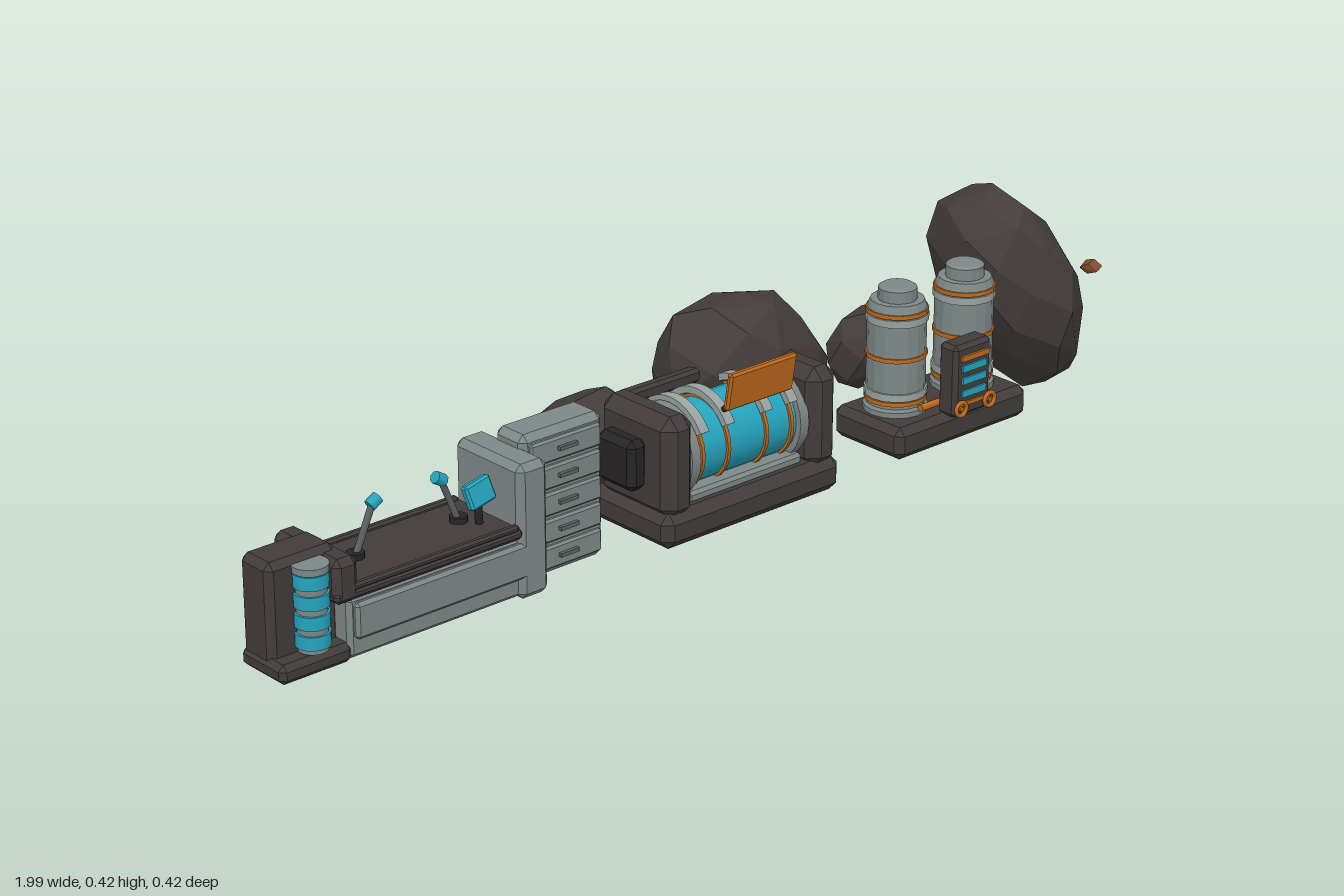
import * as THREE from 'three';
import { ConvexGeometry } from 'three/addons/geometries/ConvexGeometry.js';

const mat = (name, color) => Object.assign(new THREE.MeshStandardMaterial({ color }), { name });

export function createModel() {
  const root = new THREE.Group();
  const M = {
    rock: mat('rock', 0x433d3b), dark: mat('dark metal', 0x423c3b), black: mat('black metal', 0x262425),
    grey: mat('grey metal', 0x7d8886), pale: mat('pale metal', 0x98a3a0), slate: mat('slate metal', 0x5b6361),
    cyan: mat('cyan glow', 0x25a5bf), orange: mat('orange paint', 0xc06a1c),
    ore: mat('ore', 0x7d4c30),
  };
  let parent = root;
  const group = (name) => {
    parent = new THREE.Group();
    parent.name = name;
    root.add(parent);
  };
  const add = (name, geo, m, x = 0, y = 0, z = 0) => {
    const mesh = new THREE.Mesh(geo, m);
    mesh.name = name;
    mesh.position.set(x, y, z);
    parent.add(mesh);
    return mesh;
  };

  // box given by its limits, with optional chamfered edges
  const box = (name, m, x0, x1, y0, y1, z0, z1, c = 0) => {
    const h = [(x1 - x0) / 2, (y1 - y0) / 2, (z1 - z0) / 2];
    let geo;
    if (c) {
      const pts = [];
      for (const sx of [-1, 1]) for (const sy of [-1, 1]) for (const sz of [-1, 1])
        for (let k = 0; k < 3; k++) {
          const r = h.map((v, i) => (i === k ? v : v - c));
          pts.push(new THREE.Vector3(sx * r[0], sy * r[1], sz * r[2]));
        }
      geo = new ConvexGeometry(pts);
    } else geo = new THREE.BoxGeometry(h[0] * 2, h[1] * 2, h[2] * 2);
    return add(name, geo, m, (x0 + x1) / 2, (y0 + y1) / 2, (z0 + z1) / 2);
  };
  // upright or lying cylinder
  const cyl = (name, m, r, len, x, y, z, axis = 'y', sides = 20) => {
    const g = new THREE.CylinderGeometry(r, r, len, sides);
    if (axis === 'x') g.rotateZ(Math.PI / 2);
    if (axis === 'z') g.rotateX(Math.PI / 2);
    return add(name, g, m, x, y, z);
  };
  const rod = (name, m, r, a, b) => {
    const A = new THREE.Vector3(...a), B = new THREE.Vector3(...b);
    const d = B.clone().sub(A);
    const s = cyl(name, m, r, d.length(), 0, 0, 0, 'y', 8);
    s.position.copy(A).add(B).multiplyScalar(0.5);
    s.quaternion.setFromUnitVectors(new THREE.Vector3(0, 1, 0), d.normalize());
  };

  // Rocks: faceted hulls of jittered sphere points, leaned and fitted to a size
  const rock = (name, min, max, leanX, leanZ, count, seed, m = M.rock) => {
    let s = seed;
    const rnd = () => (s = (s * 16807) % 2147483647) / 2147483647;
    const pts = [];
    for (let i = 0; i < count; i++) {
      const y = 1 - (2 * (i + 0.5)) / count, r = Math.sqrt(1 - y * y);
      const a = i * 2.39996 + rnd() * 0.5, k = 0.92 + rnd() * 0.1;
      pts.push(new THREE.Vector3((r * Math.cos(a) + leanX * y) * k, y * k, (r * Math.sin(a) + leanZ * y) * k));
    }
    const b = new THREE.Box3().setFromPoints(pts), size = b.getSize(new THREE.Vector3());
    const lo = new THREE.Vector3(...min), span = new THREE.Vector3(...max).sub(lo);
    pts.forEach((p) => p.sub(b.min).divide(size).multiply(span).add(lo));
    add(name, new ConvexGeometry(pts), m);
  };
  group('rocks');
  rock('tallRock', [0.69, 0, -0.155], [0.995, 0.42, 0.16], -0.55, -0.05, 46, 11);
  rock('middleRock', [0, 0.045, -0.155], [0.355, 0.355, 0.09], -0.25, 0, 42, 23);
  rock('lowRock', [-0.295, 0.05, -0.185], [-0.015, 0.225, 0.0], 0.2, 0, 34, 37);
  rock('smallRock', [0.515, 0.022, -0.203], [0.67, 0.2, -0.07], 0, 0.3, 28, 51);
  rock('oreChipTall', [0.94, 0.23, 0.08], [0.98, 0.256, 0.122], 0, 0, 10, 5, M.ore);
  rock('oreChipMiddle', [0.13, 0.2, -0.163], [0.17, 0.225, -0.13], 0, 0, 10, 6, M.ore);
  rock('oreChipSmall', [0.575, 0.1, -0.212], [0.6, 0.12, -0.185], 0, 0, 10, 7, M.ore);

  // Power cabinet at the far end, with a glowing cell stack
  group('powerCabinet');
  box('cabinetBody', M.dark, -0.99, -0.85, 0.03, 0.23, 0.05, 0.13, 0.012);
  box('cabinetFoot', M.dark, -0.995, -0.85, 0.03, 0.065, 0.05, 0.165, 0.01);
  cyl('cellCore', M.grey, 0.026, 0.145, -0.915, 0.14, 0.142);
  cyl('cellCap', M.grey, 0.031, 0.012, -0.915, 0.213, 0.142);
  for (let i = 0; i < 4; i++) cyl('cellBand', M.cyan, 0.03, 0.024, -0.915, 0.088 + i * 0.035, 0.142);

  // Workbench
  group('workbench');
  box('benchBody', M.grey, -0.86, -0.45, 0.035, 0.145, 0.01, 0.165, 0.008);
  box('benchFrontPanel', M.grey, -0.85, -0.46, 0.07, 0.135, 0.155, 0.175, 0.006);
  box('benchTop', M.dark, -0.89, -0.5, 0.143, 0.165, 0, 0.175, 0.008);
  for (const z of [0, 0.16]) box('benchRim', M.dark, -0.87, -0.51, 0.16, 0.172, z, z + 0.015, 0.004);
  box('benchEnd', M.dark, -0.89, -0.84, 0.14, 0.22, 0.0, 0.175, 0.012);
  box('benchBack', M.grey, -0.51, -0.445, 0.03, 0.275, 0, 0.175, 0.012);
  for (const x of [-0.835, -0.55]) for (const z of [0.04, 0.135])
    cyl('benchFoot', M.black, 0.01, 0.025, x, 0.048, z, 'y', 10);

  // Levers and a tilted screen on the bench
  for (const [x, top] of [[-0.78, -0.742], [-0.565, -0.6]]) {
    cyl('leverBase', M.black, 0.016, 0.012, x, 0.169, 0.08, 'y', 12);
    rod('leverStick', M.slate, 0.006, [x, 0.165, 0.08], [top, 0.25, 0.08]);
    rod('leverKnob', M.cyan, 0.011, [top - Math.sign(top - x) * 0.006, 0.247, 0.08], [top + Math.sign(top - x) * 0.012, 0.258, 0.08]);
  }
  rod('screenPole', M.black, 0.007, [-0.545, 0.165, 0.11], [-0.548, 0.22, 0.11]);
  const screen = box('screen', M.cyan, -0.575, -0.52, 0.2, 0.245, 0.105, 0.122, 0.004);
  screen.rotation.set(-0.25, 0, 0.2);

  // Drawer cabinet
  group('drawerCabinet');
  box('drawerBody', M.grey, -0.46, -0.28, 0.03, 0.297, 0.045, 0.122, 0.012);
  for (let i = 0; i < 5; i++) {
    const y = 0.044 + i * 0.049;
    box('drawerFront', M.grey, -0.447, -0.293, y, y + 0.042, 0.11, 0.13, 0.004);
    box('drawerHandle', M.slate, -0.39, -0.35, y + 0.019, y + 0.026, 0.128, 0.137);
  }

  // Generator: base, end frames and axle stubs
  group('generator');
  box('generatorBase', M.dark, -0.2, 0.22, 0.028, 0.095, -0.02, 0.192, 0.018);
  for (const [x0, x1] of [[-0.195, -0.125], [0.145, 0.215]])
    box('endFrame', M.dark, x0, x1, 0.08, 0.27, 0, 0.19, 0.022);
  for (const [x0, x1] of [[-0.232, -0.19], [0.21, 0.252]])
    box('axleStub', M.black, x0, x1, 0.13, 0.225, 0.04, 0.135, 0.012);
  box('backRail', M.dark, -0.15, 0.17, 0.235, 0.262, 0.0, 0.025, 0.006);

  // Drum with cage arches and thin bands
  const drumY = 0.172, drumZ = 0.092;
  cyl('drum', M.cyan, 0.073, 0.29, 0.01, drumY, drumZ, 'x', 24);
  const arch = new THREE.Shape();
  arch.absarc(0, 0, 0.093, -0.4, 2.6, false);
  arch.absarc(0, 0, 0.08, 2.6, -0.4, true);
  const archGeo = new THREE.ExtrudeGeometry(arch, { depth: 0.02, bevelEnabled: false, curveSegments: 16 });
  archGeo.rotateY(Math.PI / 2);
  for (const x of [-0.095, -0.035, 0.055, 0.115]) {
    add('cageArch', archGeo, M.pale, x - 0.01, drumY, drumZ);
    cyl('drumBand', M.orange, 0.078, 0.007, x, drumY, drumZ, 'x', 24);
  }
  for (const x of [-0.118, 0.138]) cyl('drumCollar', M.grey, 0.085, 0.02, x, drumY, drumZ, 'x', 24);
  box('cradle', M.grey, -0.125, 0.145, 0.09, 0.112, 0.02, 0.165, 0.006);
  const sign = box('signPanel', M.orange, -0.068, 0.088, 0.258, 0.331, 0.191, 0.204, 0.004);
  sign.rotation.x = 0.17;
  for (const x of [-0.04, 0.06]) rod('signPost', M.black, 0.006, [x, 0.245, 0.16], [x, 0.275, 0.192]);

  // Tank platform with two banded tanks
  group('tankStation');
  box('platform', M.dark, 0.375, 0.715, 0.028, 0.09, 0, 0.178, 0.014);
  for (const x of [0.455, 0.63]) {
    const profile = [[0, 0.085], [0.06, 0.085], [0.06, 0.1], [0.055, 0.105], [0.055, 0.29], [0.05, 0.304],
      [0.036, 0.304], [0.036, 0.326], [0.03, 0.33], [0, 0.33]].map((p) => new THREE.Vector2(...p));
    const lathe = new THREE.LatheGeometry(profile, 16).toNonIndexed();
    lathe.computeVertexNormals();
    add('tank', lathe, M.grey, x, 0, 0.085);
    for (const y of [0.115, 0.2, 0.285]) cyl('tankBand', M.orange, 0.058, 0.008, x, y, 0.085, 'y', 16);
    for (const y of [0.128, 0.272]) cyl('tankHoop', M.pale, 0.0585, 0.014, x, y, 0.085, 'y', 16);
  }

  // Control console with displays and valve wheels
  box('console', M.dark, 0.497, 0.592, 0.085, 0.226, 0.15, 0.196, 0.008);
  box('consoleTrim', M.orange, 0.51, 0.579, 0.196, 0.206, 0.192, 0.201);
  box('consoleTrim', M.orange, 0.51, 0.579, 0.108, 0.115, 0.192, 0.2);
  for (const y of [0.125, 0.15, 0.174])
    box('display', M.cyan, 0.514, 0.575, y, y + 0.013, 0.193, 0.2);
  for (const x of [0.508, 0.582]) {
    add('valveWheel', new THREE.TorusGeometry(0.013, 0.004, 8, 14), M.orange, x, 0.106, 0.203);
    cyl('valveStem', M.orange, 0.005, 0.03, x, 0.106, 0.19, 'z', 8);
  }
  rod('pipe', M.orange, 0.007, [0.455, 0.106, 0.15], [0.63, 0.106, 0.15]);
  return root;
}
